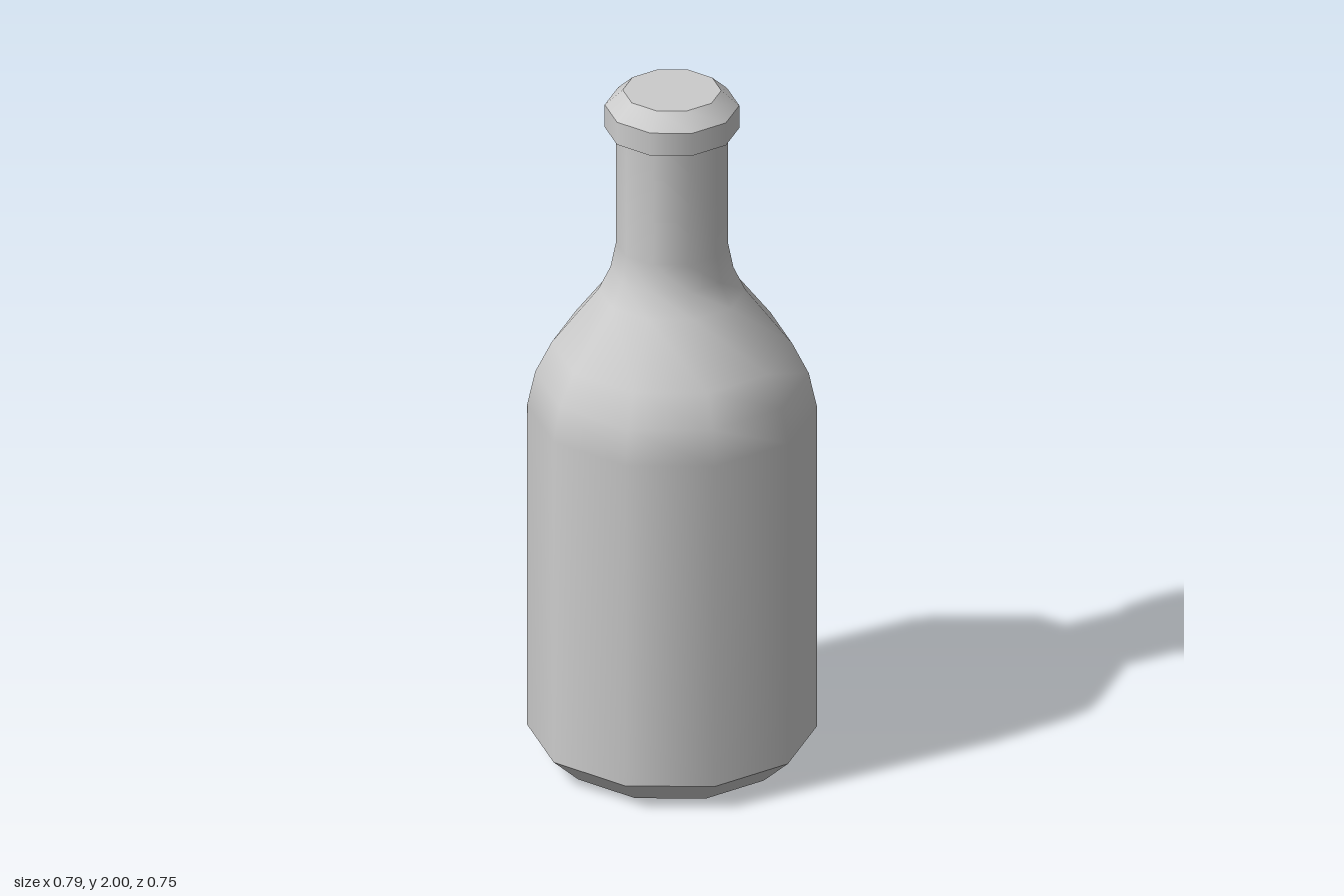
import * as THREE from 'three';

const SIDES = 10;

export function createModel() {
  const bottle = new THREE.Group();
  bottle.name = 'bottle';
  const material = new THREE.MeshStandardMaterial({ color: 0xcccccc });

  // Each ring is its own lathe, so its borders stay sharp and its sides smooth.
  // Profiles run from bottom to top, or outward under the bottle, as [radius, height].
  const addRing = (name, profile) => {
    const points = profile.map(([r, y]) => new THREE.Vector2(r, y));
    const geometry = new THREE.LatheGeometry(points, SIDES, Math.PI / 2);
    const mesh = new THREE.Mesh(geometry, material);
    mesh.name = name;
    bottle.add(mesh);
  };

  // Base
  addRing('baseUnderside', [[0, 0], [0.312, 0]]);
  addRing('baseBevel', [[0.312, 0], [0.394, 0.075]]);

  // Body, rounded shoulder and straight neck
  addRing('bodyAndNeck', [
    [0.394, 0.075], [0.394, 1.045], [0.372, 1.145], [0.327, 1.235],
    [0.2, 1.397], [0.167, 1.465], [0.152, 1.54], [0.152, 1.887],
  ]);

  // Collar and flat top
  addRing('collarUnderside', [[0.152, 1.887], [0.183, 1.887]]);
  addRing('collar', [[0.183, 1.887], [0.183, 1.955]]);
  addRing('collarBevel', [[0.183, 1.955], [0.134, 2]]);
  addRing('top', [[0.134, 2], [0, 2]]);

  return bottle;
}
